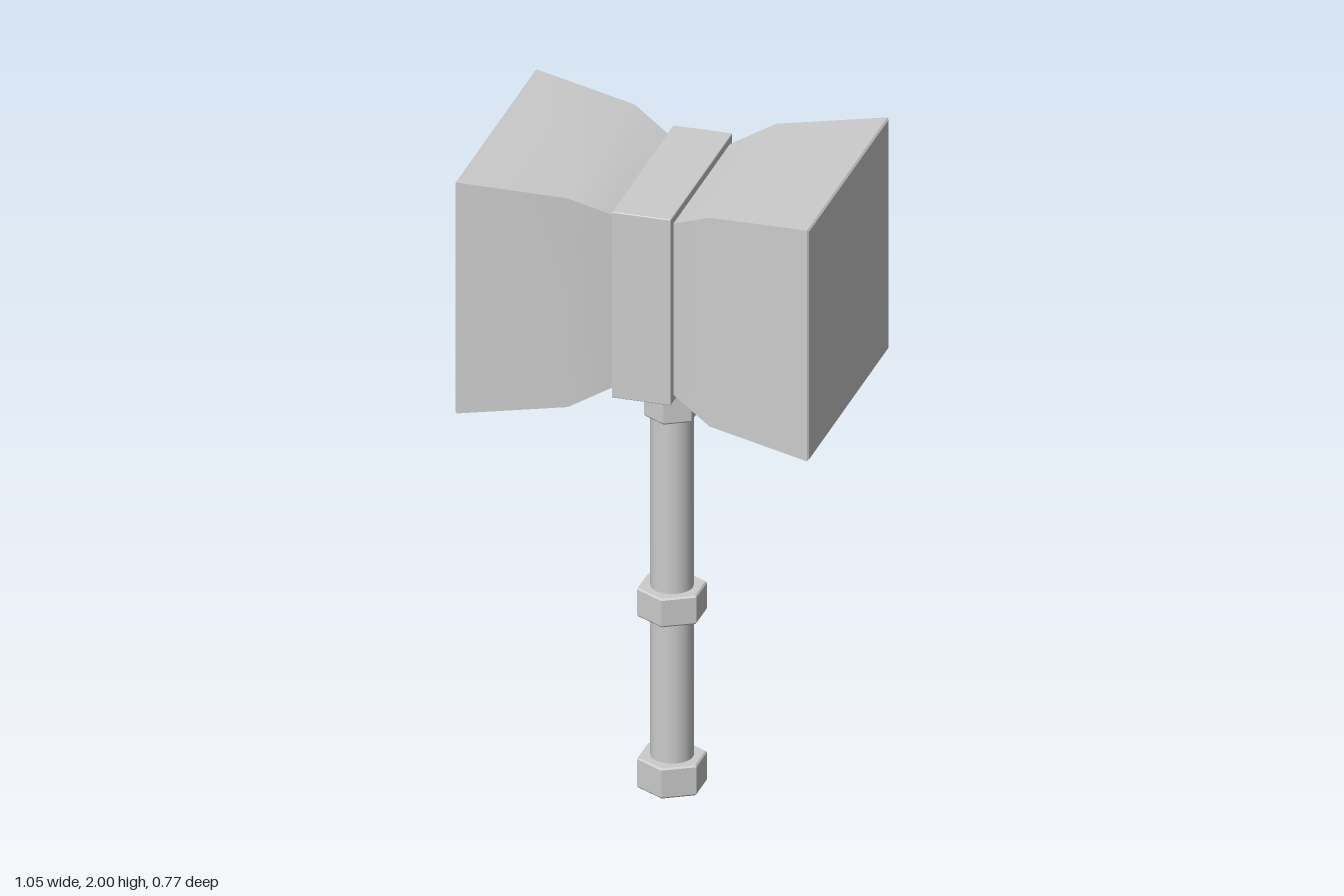
import * as THREE from 'three';
import { mergeGeometries } from 'three/addons/utils/BufferGeometryUtils.js';
import { RoundedBoxGeometry } from 'three/addons/geometries/RoundedBoxGeometry.js';

const material = new THREE.MeshStandardMaterial({ color: 0xcccccc });

// One half of the head: [x, half height, half depth] stations
const HEAD_BODY = [[0, 0.243, 0.243], [0.088, 0.27, 0.269], [0.21, 0.329, 0.318], [0.52, 0.364, 0.383]];
const HEAD_BEVEL = [[0.52, 0.364, 0.383], [0.525, 0.359, 0.378]];
const HEAD_FACE = [[0.525, 0.359, 0.378], [0.525, 0, 0]];

// Rectangular loft along x: each of the four sides is its own strip, so the
// corners stay sharp while the shading is smooth along the length
function loft(stations) {
  const corners = [[1, 1], [1, -1], [-1, -1], [-1, 1]]; // signs of y, z
  const sides = corners.map((a, k) => {
    const b = corners[(k + 1) % 4];
    const pos = [], index = [];
    stations.forEach(([x, h, d], i) => {
      pos.push(x, a[0] * h, a[1] * d, x, b[0] * h, b[1] * d);
      if (i > 0) {
        const p = 2 * i - 2;
        index.push(p, p + 2, p + 1, p + 1, p + 2, p + 3);
      }
    });
    const g = new THREE.BufferGeometry();
    g.setAttribute('position', new THREE.Float32BufferAttribute(pos, 3));
    g.setIndex(index);
    g.computeVertexNormals();
    return g;
  });
  return mergeGeometries(sides);
}

// Hexagonal prism with slightly bevelled rims, corners pointing to +z and -z
function hexPrism(radius, y0, y1, bevel = 0.005) {
  const pts = [[0, y0], [radius - bevel, y0], [radius, y0 + bevel],
    [radius, y1 - bevel], [radius - bevel, y1], [0, y1]];
  const lathe = new THREE.LatheGeometry(pts.map(([x, y]) => new THREE.Vector2(x, y)), 6);
  const flat = lathe.toNonIndexed();
  flat.computeVertexNormals();
  return flat;
}

export function createModel() {
  const model = new THREE.Group();
  model.name = 'hammer';
  const add = (name, geometry, parent = model) => {
    const mesh = new THREE.Mesh(geometry, material);
    mesh.name = name;
    parent.add(mesh);
    return mesh;
  };

  // Round shaft
  add('shaft', new THREE.CylinderGeometry(0.062, 0.062, 1.2, 24)).position.y = 0.65;

  // Hexagonal fittings along the shaft
  add('pommel', hexPrism(0.102, 0, 0.095));
  add('gripRing', hexPrism(0.102, 0.54, 0.63));
  add('headCollar', hexPrism(0.082, 1.17, 1.4));

  // Head: two flared halves, the second turned half way round
  const head = new THREE.Group();
  head.name = 'head';
  head.position.y = 1.636;
  model.add(head);
  const half = mergeGeometries([HEAD_BODY, HEAD_BEVEL, HEAD_FACE].map(loft));
  add('leftHeadHalf', half, head);
  add('rightHeadHalf', half, head).rotation.y = Math.PI;

  // Band wrapped around the waist of the head
  add('headBand', new RoundedBoxGeometry(0.176, 0.586, 0.588, 1, 0.003), head);

  return model;
}
